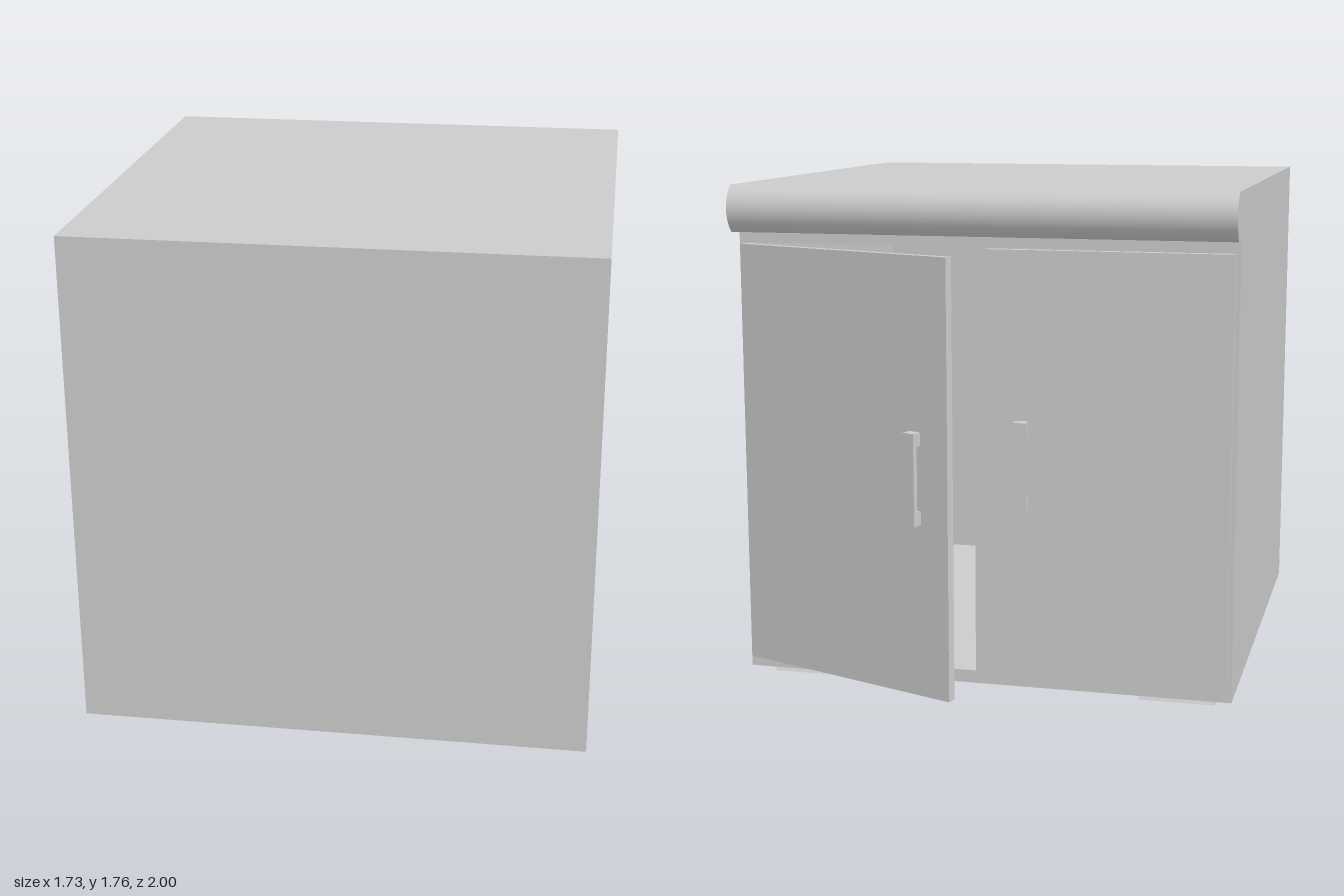
import * as THREE from 'three';
import { toCreasedNormals } from 'three/addons/utils/BufferGeometryUtils.js';

const material = new THREE.MeshStandardMaterial({ color: 0xcccccc });
const W = 0.865; // half width of the cabinet

function part(name, geometry, parent) {
  const mesh = new THREE.Mesh(geometry, material);
  mesh.name = name;
  parent.add(mesh);
  return mesh;
}

function rectangle(Type, x0, x1, y0, y1) {
  const r = new Type();
  r.moveTo(x0, y0).lineTo(x1, y0).lineTo(x1, y1).lineTo(x0, y1).closePath();
  return r;
}

// Extrudes a side profile, drawn as (-z, y), across x from x0 to x1
function acrossX(shape, x0, x1) {
  const g = new THREE.ExtrudeGeometry(shape, { depth: x1 - x0, bevelEnabled: false, curveSegments: 12 });
  g.rotateY(Math.PI / 2).translate(x0, 0, 0);
  return toCreasedNormals(g, 0.6);
}

// Door with its hinge at the outer corner; side is +1 or -1, angle opens it
function addDoor(name, side, width, angle, parent) {
  const door = new THREE.Group();
  door.name = name;
  const height = 1.475;
  part('doorPanel', new THREE.BoxGeometry(width, height, 0.03).translate(-side * width / 2, height / 2, 0.015), door);

  // C-shaped pull standing off the outer face
  const y0 = 0.59, y1 = 0.9, out = 0.038, foot = 0.045;
  const pull = new THREE.Shape();
  pull.moveTo(0, y0).lineTo(out, y0).lineTo(out, y1).lineTo(0, y1)
    .lineTo(0, y1 - foot).lineTo(0.02, y1 - foot).lineTo(0.02, y0 + foot).lineTo(0, y0 + foot).closePath();
  const x = -side * (width - 0.13);
  part('handle', acrossX(pull, x - 0.022, x + 0.022), door);

  door.position.set(side * 0.85, 0.082, -0.695);
  door.rotation.y = -side * angle;
  parent.add(door);
}

export function createModel() {
  const model = new THREE.Group();
  model.name = 'cabinet';

  // Carcass with two compartments opening to the door side
  const frame = rectangle(THREE.Shape, -W, W, 0.035, 1.6);
  for (const s of [-1, 1]) {
    frame.holes.push(rectangle(THREE.Path, s * 0.03, s * (W - 0.03), 0.08, 1.56));
  }
  const carcass = new THREE.ExtrudeGeometry(frame, { depth: 1.63, bevelEnabled: false });
  part('carcass', carcass.translate(0, 0, -0.66), model);
  part('backPanel', new THREE.BoxGeometry(2 * W, 1.565, 0.03).translate(0, 0.8175, 0.985), model);

  // Worktop with a rounded overhanging edge
  const top = new THREE.Shape();
  top.moveTo(-1, 1.6).lineTo(0.73, 1.6)
    .bezierCurveTo(0.785, 1.645, 0.785, 1.715, 0.73, 1.76)
    .lineTo(-1, 1.76).closePath();
  part('worktop', acrossX(top, -W, W), model);

  // Runner feet with slanted ends
  const runner = new THREE.Shape();
  runner.moveTo(-0.91, 0).lineTo(0.6, 0).lineTo(0.582, 0.035).lineTo(-0.925, 0.035).closePath();
  for (const s of [-1, 1]) {
    part('foot', acrossX(runner, s * 0.6675 - 0.1325, s * 0.6675 + 0.1325), model);
  }

  // One door ajar, one closed
  addDoor('openDoor', 1, 0.874, THREE.MathUtils.degToRad(20.3), model);
  addDoor('closedDoor', -1, 0.835, 0, model);

  return model;
}
